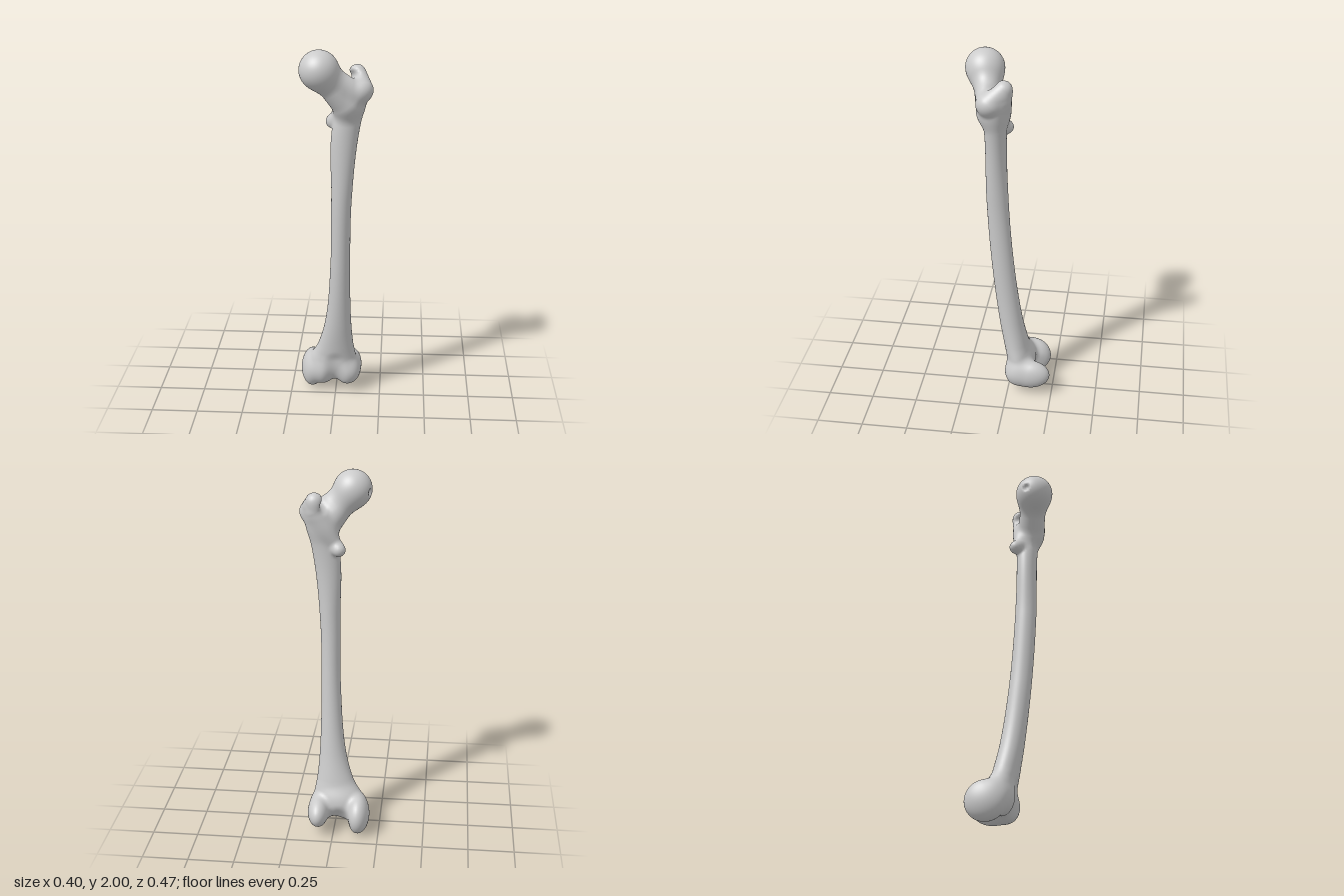
import * as THREE from 'three';
import { mergeVertices } from 'three/addons/utils/BufferGeometryUtils.js';

// Smooth blends: union of two solids, and cut of b out of a
const blend = (a, b, k) => {
  const h = Math.max(k - Math.abs(a - b), 0) / k;
  return Math.min(a, b) - h * h * k / 4;
};
const cut = (a, b, k) => -blend(-a, b, k);

// Signed distance to an ellipsoid (or, with y = 0, an elliptical column)
function roundness(x, y, z, rx, ry, rz) {
  const q = Math.hypot(x / rx, y / ry, z / rz);
  const g = Math.hypot(x / rx ** 2, y / ry ** 2, z / rz ** 2);
  return g < 1e-6 ? -Math.min(rx, ry, rz) : q * (q - 1) / g;
}

// Solid: ellipsoid at a centre
const ellipsoid = ([cx, cy, cz], [rx, ry, rz]) =>
  (x, y, z) => roundness(x - cx, y - cy, z - cz, rx, ry, rz);

// Solid: ball
const ball = (centre, r) => ellipsoid(centre, [r, r, r]);

// Solid: round bar from a to b, tapering from radius ra to rb
function bar(a, b, ra, rb = ra) {
  const start = new THREE.Vector3(...a), line = new THREE.Vector3(...b).sub(start);
  const e = new THREE.Vector3();
  return (x, y, z) => {
    e.set(x, y, z).sub(start);
    const t = THREE.MathUtils.clamp(e.dot(line) / line.lengthSq(), 0, 1);
    return e.addScaledVector(line, -t).length() - THREE.MathUtils.lerp(ra, rb, t);
  };
}

// Solid: upright column of elliptical sections [y, xMin, xMax, zMin, zMax]
function column(sections) {
  const ys = sections.map(s => s[0]);
  const spline = new THREE.CubicInterpolant(ys, sections.flatMap(s => s.slice(1)), 4);
  const y0 = ys[0], y1 = ys[ys.length - 1];
  return (x, y, z) => {
    const [xa, xb, za, zb] = spline.evaluate(THREE.MathUtils.clamp(y, y0, y1 - 1e-4));
    const side = roundness(x - (xa + xb) / 2, 0, z - (za + zb) / 2, (xb - xa) / 2, 1, (zb - za) / 2);
    return cut(side, -Math.max(y0 - y, y - y1), 0.05);
  };
}

const shaft = column([
  [0.12, -0.15, 0.115, -0.12, 0.01],
  [0.2, -0.145, 0.115, -0.13, 0.015],
  [0.3, -0.098, 0.099, -0.108, 0.03],
  [0.45, -0.057, 0.087, -0.077, 0.052],
  [0.8, -0.025, 0.082, -0.03, 0.09],
  [1.2, -0.018, 0.09, 0, 0.116],
  [1.6, -0.01, 0.133, 0.005, 0.12],
  [1.8, 0.055, 0.185, -0.015, 0.13],
]);

// Parts of each end: name, solid, softness of its joint
const HEAD = [-0.075, 1.9, 0.134];
const upperEnd = [
  ['head', ball(HEAD, 0.1), 0.03],
  ['neck', bar(HEAD, [0.06, 1.72, 0.085], 0.066, 0.075), 0.05],
  ['neck', bar(HEAD, [0.12, 1.78, 0.095], 0.045, 0.055), 0.03],
  ['greaterTrochanter', bar([0.113, 1.86, 0.014], [0.138, 1.79, 0.085], 0.045, 0.06), 0.02],
  ['trochantericCrest', bar([0.11, 1.81, 0.012], [0, 1.63, 0.03], 0.035, 0.025), 0.04],
  ['lesserTrochanter', ball([-0.014, 1.605, 0.014], 0.035), 0.025],
];
const lowerEnd = [
  ['kneeBody', ellipsoid([-0.03, 0.16, -0.07], [0.13, 0.09, 0.078]), 0.04],
  ...[-0.075, 0.062].map(x => ['kneeBody', ellipsoid([x, 0.125, -0.05], [0.066, 0.079, 0.064]), 0.03]),
  ['medialCondyle', ellipsoid([-0.135, 0.112, -0.115], [0.064, 0.108, 0.11]), 0.03],
  ['lateralCondyle', ellipsoid([0.083, 0.128, -0.122], [0.06, 0.084, 0.117]), 0.03],
];
const PARTS = [['shaft', shaft, 0.03], ...upperEnd, ...lowerEnd];

// Hollows: solid, softness of its rim
const notch = ellipsoid([-0.03, 0.05, -0.2], [0.05, 0.1, 0.09]);
const kneecapGroove = bar([0, 0.2, 0.055], [0, 0.03, 0.03], 0.033);
const trochanterPit = bar([0.055, 1.83, -0.005], [0.11, 1.885, 0.095], 0.02);
const ligamentPit = ball([-0.175, 1.89, 0.104], 0.02);
const HOLLOWS = [[notch, 0.04], [kneecapGroove, 0.05], [trochanterPit, 0.025], [ligamentPit, 0.012]];

// Whole bone: negative inside, positive outside
function bone(x, y, z) {
  let d = 1;
  for (const [, solid, k] of PARTS) d = blend(d, solid(x, y, z), k);
  for (const [solid, k] of HOLLOWS) d = cut(d, solid(x, y, z), k);
  return d;
}

function slope({ x, y, z }) {
  const e = 0.002;
  return new THREE.Vector3(
    bone(x + e, y, z) - bone(x - e, y, z),
    bone(x, y + e, z) - bone(x, y - e, z),
    bone(x, y, z + e) - bone(x, y, z - e)).divideScalar(2 * e);
}

// Name of the part nearest to a point
function partAt({ x, y, z }) {
  const distances = PARTS.map(([, solid]) => solid(x, y, z));
  return PARTS[distances.indexOf(Math.min(...distances))][0];
}

// One continuous skin over all parts, as triangles grouped by part name
function skin() {
  const S = 0.01, MIN = new THREE.Vector3(-0.245, -0.035, -0.285), N = [50, 209, 57];
  const step = [1, N[0], N[0] * N[1]];
  const place = p => new THREE.Vector3(...p).multiplyScalar(S).add(MIN);
  const field = new Float32Array(N[0] * N[1] * N[2]);
  const eachCell = (margin, fn) => {
    for (let k = margin; k < N[2] - margin; k++)
      for (let j = margin; j < N[1] - margin; j++)
        for (let i = margin; i < N[0] - margin; i++) fn([i, j, k], i + j * step[1] + k * step[2]);
  };
  eachCell(0, (cell, id) => {
    const { x, y, z } = place(cell);
    field[id] = bone(x, y, z);
  });

  // One point per cell the surface crosses, settled onto the surface
  const points = new Map();
  eachCell(1, (cell, id) => {
    const pos = new THREE.Vector3();
    let hits = 0;
    for (let c = 0; c < 8; c++) {
      const o = [c & 1, (c >> 1) & 1, c >> 2];
      const from = id + o[0] * step[0] + o[1] * step[1] + o[2] * step[2];
      for (let a = 0; a < 3; a++) {
        if (o[a]) continue;
        const f = field[from], g = field[from + step[a]];
        if ((f < 0) === (g < 0)) continue;
        const p = cell.map((v, n) => v + o[n]);
        p[a] += f / (f - g);
        pos.add(place(p));
        hits++;
      }
    }
    if (!hits) return;
    pos.divideScalar(hits);
    const g = slope(pos);
    const move = -bone(pos.x, pos.y, pos.z) / Math.max(g.lengthSq(), 0.1);
    pos.addScaledVector(g, THREE.MathUtils.clamp(move, -S / 2, S / 2));
    points.set(id, { pos, normal: slope(pos).normalize() });
  });

  // One quad around every grid edge the surface crosses
  const parts = {};
  eachCell(2, (cell, id) => {
    for (let a = 0; a < 3; a++) {
      const inside = field[id] < 0;
      if (inside === (field[id + step[a]] < 0)) continue;
      const b = step[(a + 1) % 3], c = step[(a + 2) % 3];
      const quad = [id, id - b, id - b - c, id - c].map(n => points.get(n));
      if (!inside) quad.reverse();
      const part = (parts[partAt(quad[0].pos)] ??= { position: [], normal: [] });
      for (const n of [0, 1, 2, 0, 2, 3]) {
        part.position.push(...quad[n].pos);
        part.normal.push(...quad[n].normal);
      }
    }
  });
  return parts;
}

export function createModel() {
  const group = new THREE.Group();
  group.name = 'thighBone';
  const material = new THREE.MeshStandardMaterial({ color: 0xcccccc });
  for (const [name, { position, normal }] of Object.entries(skin())) {
    const geometry = new THREE.BufferGeometry();
    geometry.setAttribute('position', new THREE.Float32BufferAttribute(position, 3));
    geometry.setAttribute('normal', new THREE.Float32BufferAttribute(normal, 3));
    const mesh = new THREE.Mesh(mergeVertices(geometry), material);
    mesh.name = name;
    group.add(mesh);
  }
  return group;
}
